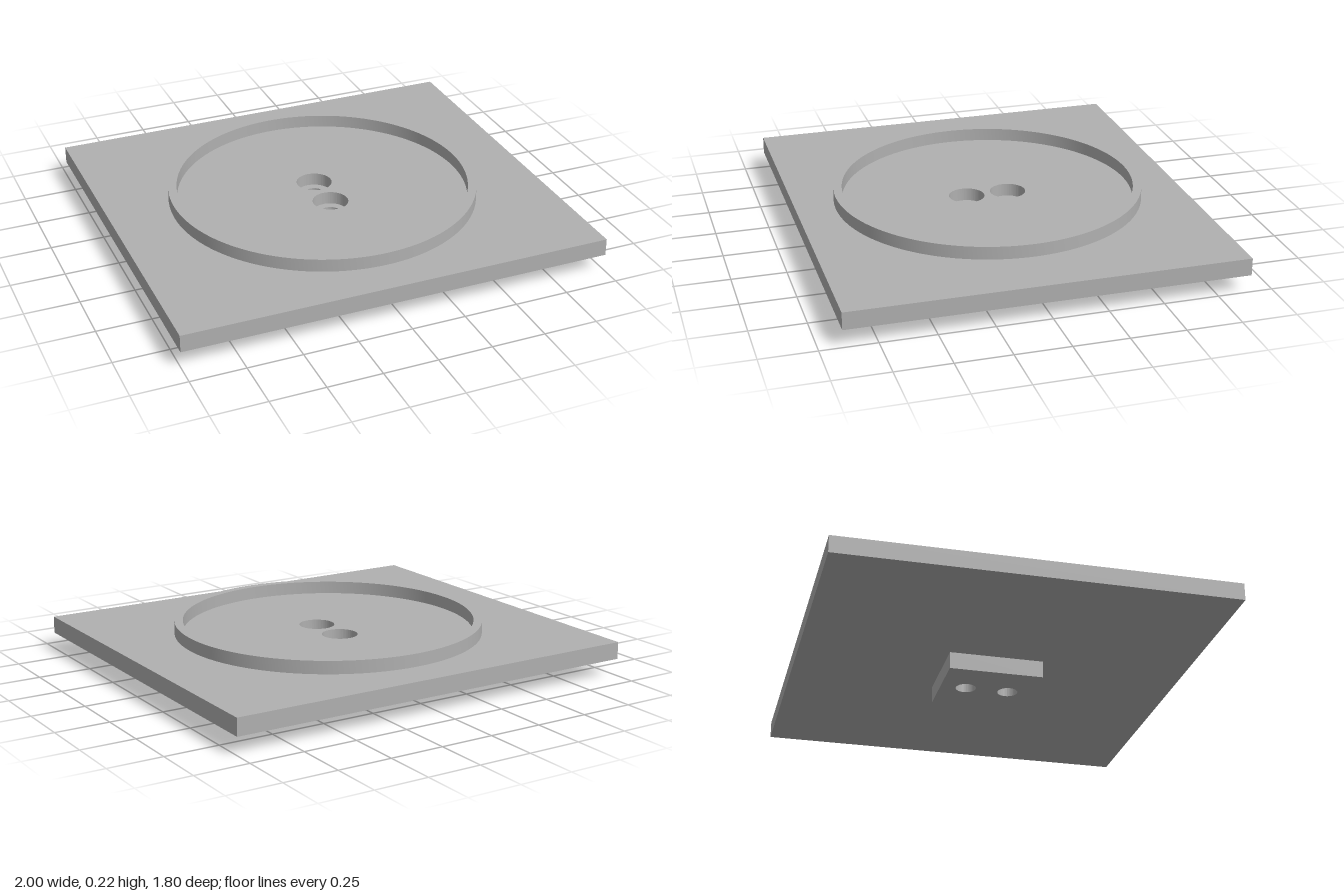
import * as THREE from 'three';
import { toCreasedNormals } from 'three/addons/utils/BufferGeometryUtils.js';

const HOLE_Z = [-0.1, 0.1];
const BOLT_R = 0.047;
const RECESS_R = 0.083;

function circle(path, z, radius) {
  path.absarc(0, z, radius, 0, Math.PI * 2, false);
  return path;
}

function rectangle(halfX, halfZ) {
  return new THREE.Shape([
    new THREE.Vector2(-halfX, -halfZ),
    new THREE.Vector2(halfX, -halfZ),
    new THREE.Vector2(halfX, halfZ),
    new THREE.Vector2(-halfX, halfZ),
  ]);
}

// Upright slab from y0 to y1 with round holes given as [z, radius]
function slab(name, shape, holes, y0, y1, material) {
  for (const [z, radius] of holes) shape.holes.push(circle(new THREE.Path(), z, radius));
  let geometry = new THREE.ExtrudeGeometry(shape, {
    depth: y1 - y0, bevelEnabled: false, curveSegments: 96,
  });
  geometry.rotateX(-Math.PI / 2);
  geometry.translate(0, y0, 0);
  geometry = toCreasedNormals(geometry, 0.5);
  const mesh = new THREE.Mesh(geometry, material);
  mesh.name = name;
  return mesh;
}

export function createModel() {
  const grey = new THREE.MeshStandardMaterial({ color: 0xb0b0b0 });
  grey.name = 'grey';
  const model = new THREE.Group();
  model.name = 'mountingPlate';

  // Square block underneath, drilled by the two bolt holes
  model.add(slab('mountingBlock', rectangle(0.2, 0.22),
    HOLE_Z.map((z) => [z, BOLT_R]), 0, 0.08, grey));

  // Wide plate with the two larger recesses
  model.add(slab('plate', rectangle(1, 0.9),
    HOLE_Z.map((z) => [z, RECESS_R]), 0.08, 0.16, grey));

  // Raised circular lip
  model.add(slab('lip', circle(new THREE.Shape(), 0, 0.72), [[0, 0.68]], 0.16, 0.22, grey));

  // Stepped floor in each recess
  for (const z of HOLE_Z) {
    model.add(slab('recessFloor', circle(new THREE.Shape(), -z, RECESS_R),
      [[-z, BOLT_R]], 0.08, 0.1, grey));
  }
  return model;
}
